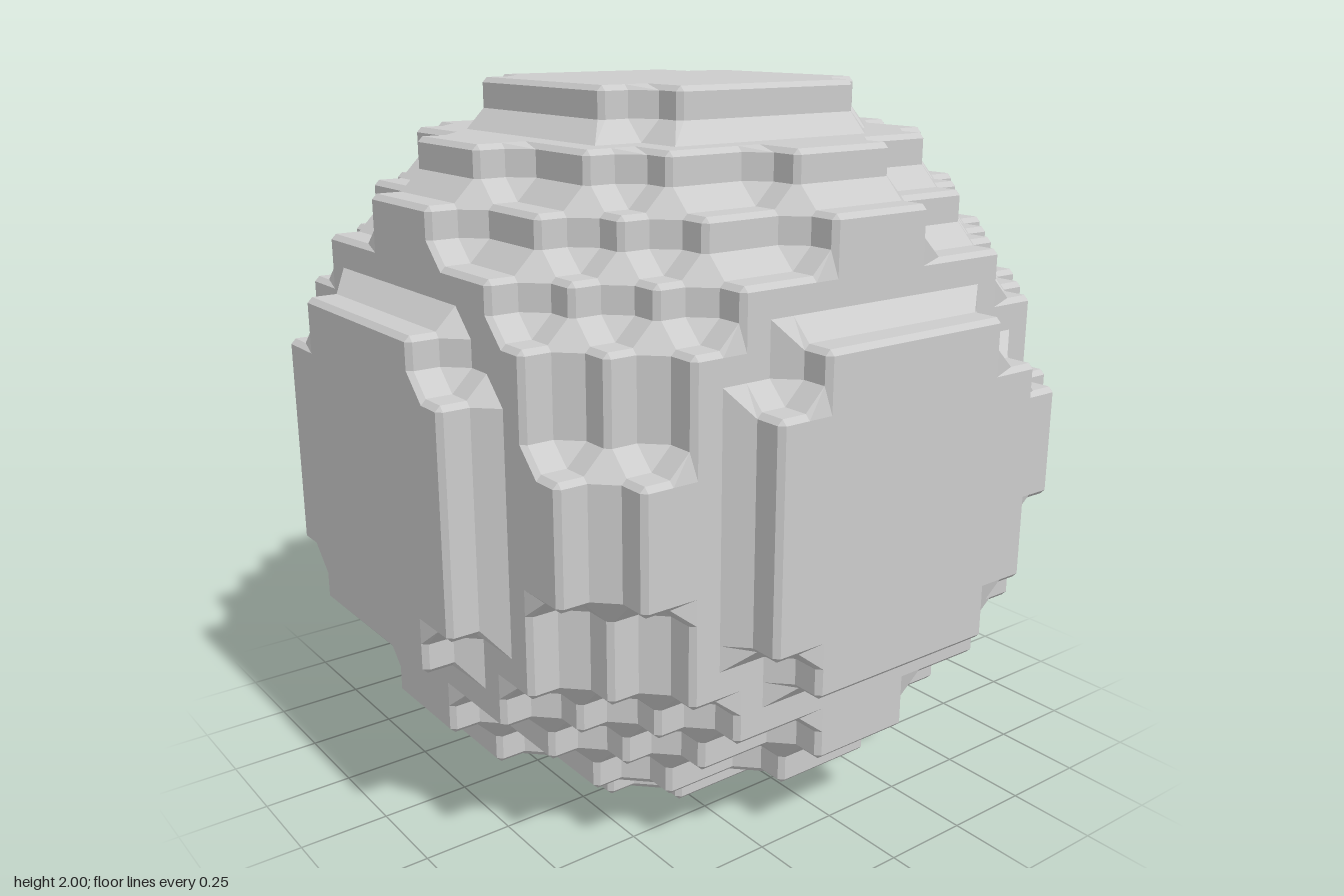
import * as THREE from 'three';

const STEP = 0.07;        // sampling distance: two samples per block
const SHIFT = 0.006;      // outward shift of the samples
const SKIN = 0.014;       // surface distance beyond the last solid sample
const RADIUS_SQ = 51;     // squared ball radius, in blocks
const REACH = 15;         // samples from the centre to just outside

const position = j => j * STEP + Math.sign(j) * SHIFT;

// Distance of the centre of the block that holds a sample
const blockCentre = j => Math.max(0, Math.ceil(Math.abs(j) / 2) - 1) + 0.5;

const isSolid = p => p.reduce((sum, j) => sum + blockCentre(j) ** 2, 0) < RADIUS_SQ;

// The six faces of a cell as corner numbers (bits x, y, z), counterclockwise from outside
const cellFaces = [];
for (let a = 0; a < 3; a++) {
  const A = 1 << a, B = 1 << ((a + 1) % 3), C = 1 << ((a + 2) % 3);
  cellFaces.push([A, A | B, A | B | C, A | C]);
  cellFaces.push([0, C, B | C, B]);
}

// Point where the surface cuts the cell edge from a solid corner to an empty one
function cutPoint(corners, solidIndex, emptyIndex) {
  return corners[solidIndex].map((j, k) =>
    position(j) + SKIN * Math.sign(corners[emptyIndex][k] - j));
}

// Adds the bevelled surface polygon of one cell
function addCell(x, y, z, out) {
  const corners = [], solid = [];
  for (let c = 0; c < 8; c++) {
    corners.push([x + (c & 1), y + ((c >> 1) & 1), z + ((c >> 2) & 1)]);
    solid.push(isSolid(corners[c]));
  }
  const count = solid.filter(Boolean).length;
  if (count === 0 || count === 8) return;

  // One directed segment per crossed face
  const next = new Map(), points = new Map();
  for (const face of cellFaces) {
    let from = null, to = null;
    face.forEach((a, i) => {
      const b = face[(i + 1) % 4];
      if (solid[a] === solid[b]) return;
      const key = Math.min(a, b) * 8 + Math.max(a, b);
      points.set(key, solid[a] ? cutPoint(corners, a, b) : cutPoint(corners, b, a));
      if (solid[a]) to = key; else from = key;
    });
    if (from !== null) next.set(from, to);
  }

  // Chain the segments into loops and fill each with a fan
  while (next.size) {
    const loop = [];
    let key = next.keys().next().value;
    while (next.has(key)) {
      loop.push(points.get(key));
      const following = next.get(key);
      next.delete(key);
      key = following;
    }
    for (let i = 1; i < loop.length - 1; i++) {
      out.push(...loop[0], ...loop[i], ...loop[i + 1]);
    }
  }
}

export function createModel() {
  const group = new THREE.Group();
  group.name = 'blockBall';

  // Stepped ball with bevelled ledges
  const vertices = [];
  for (let x = -REACH; x < REACH; x++)
    for (let y = -REACH; y < REACH; y++)
      for (let z = -REACH; z < REACH; z++) addCell(x, y, z, vertices);

  const geometry = new THREE.BufferGeometry();
  geometry.setAttribute('position', new THREE.Float32BufferAttribute(vertices, 3));
  geometry.computeVertexNormals();

  const ball = new THREE.Mesh(geometry,
    new THREE.MeshStandardMaterial({ color: 0xcccccc, flatShading: true }));
  ball.name = 'steppedBall';
  ball.position.y = 1;
  group.add(ball);
  return group;
}
